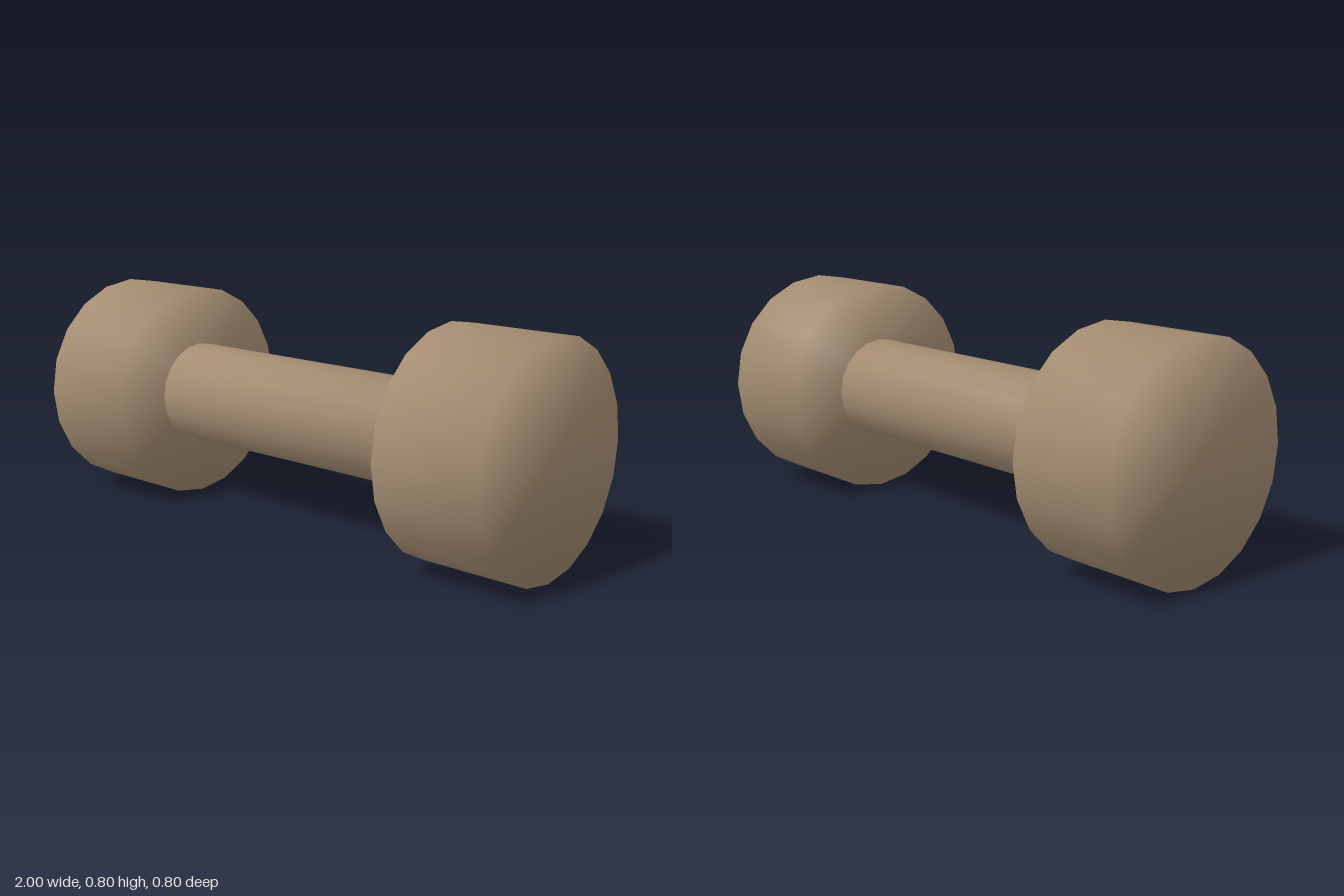
import * as THREE from 'three';

const SIDES = 20;

// Capped cylinder along x, shaded smoothly across its rims
function softCylinder(radius, length) {
  const geometry = new THREE.CylinderGeometry(radius, radius, length, SIDES, 1);
  geometry.rotateZ(Math.PI / 2);
  const position = geometry.attributes.position;
  const normal = geometry.attributes.normal;
  const k = Math.SQRT1_2;
  for (let i = 0; i < position.count; i++) {
    normal.setXYZ(
      i,
      Math.sign(position.getX(i)) * k,
      (position.getY(i) / radius) * k,
      (position.getZ(i) / radius) * k
    );
  }
  return geometry;
}

export function createModel() {
  const group = new THREE.Group();
  group.name = 'dumbbell';
  const tan = new THREE.MeshStandardMaterial({ color: 0xb0977a });
  tan.name = 'tan';

  const add = (name, geometry, x) => {
    const mesh = new THREE.Mesh(geometry, tan);
    mesh.name = name;
    mesh.position.set(x, 0.4, 0);
    group.add(mesh);
  };

  // Handle between the weights
  add('handle', softCylinder(0.185, 1.2), 0);

  // One weight at each end
  const weight = softCylinder(0.4, 0.4);
  add('leftWeight', weight, 0.8);
  add('rightWeight', weight, -0.8);

  return group;
}
